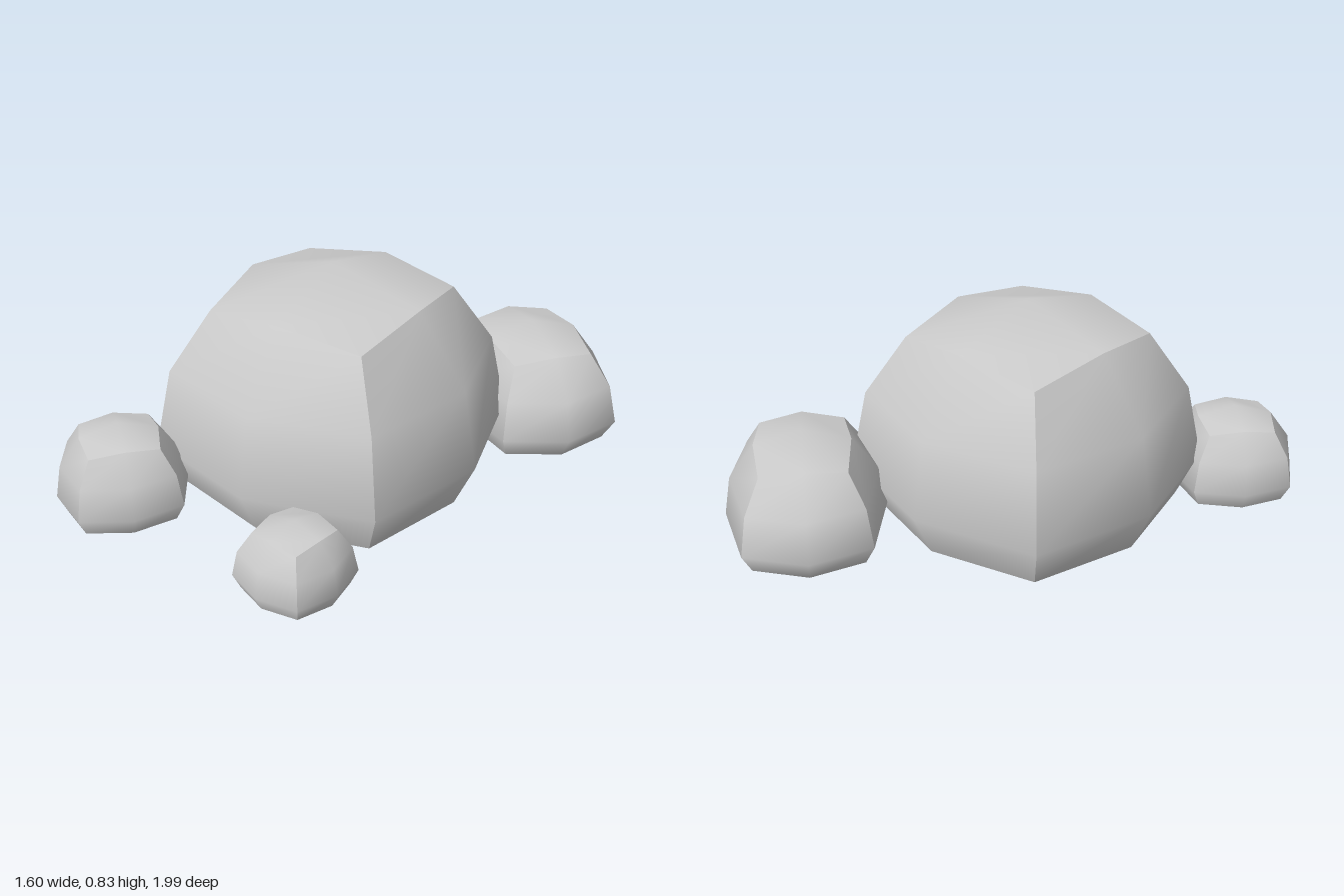
import * as THREE from 'three';
import { mergeGeometries } from 'three/addons/utils/BufferGeometryUtils.js';

// Wall rows from top to ground: [middle reach, middle height, corner reach, corner height]
const ROWS = [
  [0.355, 0.735, 0.315, 0.69],
  [0.545, 0.47, 0.425, 0.465],
  [0.595, 0.17, 0.468, 0.17],
  [0.515, 0, 0.405, 0],
];
const PEAK = 0.835;

// One bulging wall facing +z; each patch keeps its own normals so the rims stay sharp
function wallPatch() {
  const g = new THREE.PlaneGeometry(2, 1, 2, 3);
  const p = g.attributes.position;
  for (let i = 0; i < p.count; i++) {
    const [mid, midY, corner, cornerY] = ROWS[Math.floor(i / 3)];
    const u = (i % 3) - 1;
    if (u === 0) p.setXYZ(i, 0, midY, mid);
    else p.setXYZ(i, u * corner, cornerY, corner);
  }
  g.computeVertexNormals();
  return g;
}

// Domed cap that meets the top row of the walls
function capPatch() {
  const g = new THREE.PlaneGeometry(2, 2, 2, 2).rotateX(-Math.PI / 2);
  const p = g.attributes.position;
  const [mid, midY, corner, cornerY] = ROWS[0];
  for (let i = 0; i < p.count; i++) {
    const x = Math.round(p.getX(i)), z = Math.round(p.getZ(i));
    const n = Math.abs(x) + Math.abs(z);
    const r = n === 2 ? corner : mid;
    p.setXYZ(i, x * r, [PEAK, midY, cornerY][n], z * r);
  }
  g.computeVertexNormals();
  return g;
}

export function createModel() {
  const group = new THREE.Group();
  group.name = 'rockCluster';

  // Hollow boulder shell, open underneath
  const parts = [capPatch()];
  for (let k = 0; k < 4; k++) parts.push(wallPatch().rotateY(k * Math.PI / 2));
  const rock = mergeGeometries(parts);
  const material = new THREE.MeshStandardMaterial({ color: 0xcccccc, side: THREE.DoubleSide });

  // name, x, z, turn, scale
  const rocks = [
    ['mainBoulder', -0.045, 0.095, 0, [1, 1, 1]],
    ['backBoulder', 0.406, -0.62, -0.69, [0.644, 0.5, 0.5]],
    ['frontRightRock', -0.545, 0.73, -0.71, [0.4, 0.4, 0.4]],
    ['frontLeftPebble', 0.263, 0.808, -0.155, [0.318, 0.318, 0.318]],
  ];
  for (const [name, x, z, turn, scale] of rocks) {
    const mesh = new THREE.Mesh(rock, material);
    mesh.name = name;
    mesh.position.set(x, 0, z);
    mesh.rotation.y = turn;
    mesh.scale.set(...scale);
    group.add(mesh);
  }
  return group;
}
